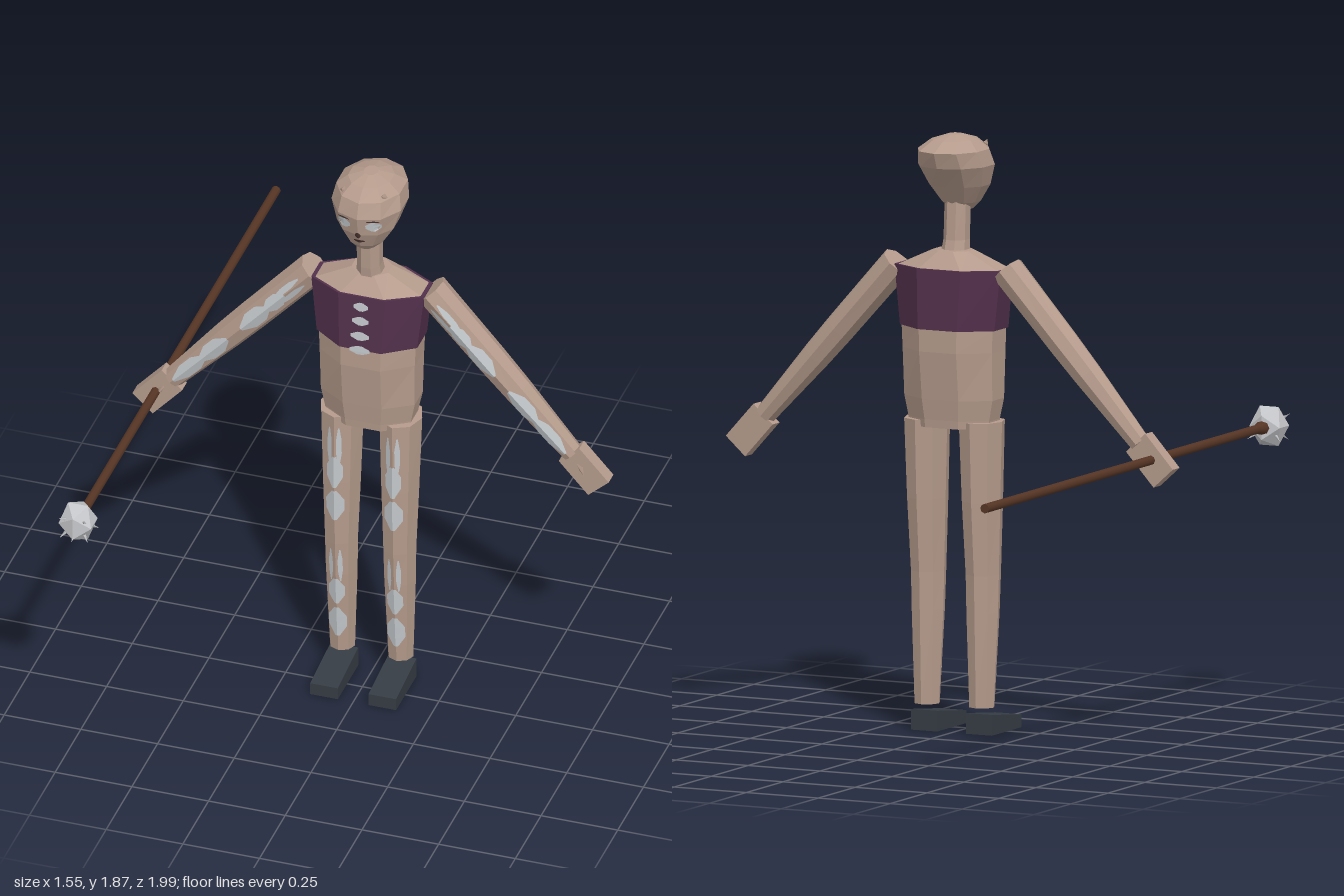
import * as THREE from 'three';

const mat = (name, color) => {
  const m = new THREE.MeshStandardMaterial({ color });
  m.name = name;
  return m;
};

// Faceted geometry: unshared corners give one normal per face
function faceted(points, index) {
  const g = new THREE.BufferGeometry();
  g.setAttribute('position', new THREE.Float32BufferAttribute(points, 3));
  g.setIndex(index);
  const flat = g.toNonIndexed();
  flat.computeVertexNormals();
  return flat;
}

// A body is { rings: [y, zCentre, halfWidth, halfDepth] rising in y, n sides, phase }
function ringPoints(ring, n, phase) {
  const angles = Array.from({ length: n }, (_, i) => ((i + phase) / n) * Math.PI * 2);
  const sx = Math.max(...angles.map(Math.sin)), sz = Math.max(...angles.map(Math.cos));
  return angles.map(a => [ring[2] * Math.sin(a) / sx, ring[0], ring[1] + ring[3] * Math.cos(a) / sz]);
}

function loft({ rings, n, phase }) {
  const pts = rings.flatMap(r => ringPoints(r, n, phase));
  const last = rings.length - 1, base = pts.length, idx = [];
  pts.push([0, rings[0][0], rings[0][1]], [0, rings[last][0], rings[last][1]]);
  for (let i = 0; i < n; i++) {
    const j = (i + 1) % n;
    for (let r = 0; r < last; r++) {
      const a = r * n + i, b = r * n + j;
      idx.push(a, b, b + n, a, b + n, a + n);
    }
    idx.push(j, i, base, last * n + i, last * n + j, base + 1);
  }
  return faceted(pts.flat(), idx);
}

// Depth of the front of a body at x, y
function frontZ({ rings, n, phase }, x, y) {
  let k = 0;
  while (k < rings.length - 2 && rings[k + 1][0] < y) k++;
  const [a, b] = [rings[k], rings[k + 1]];
  const t = THREE.MathUtils.clamp((y - a[0]) / (b[0] - a[0]), 0, 1);
  const p = ringPoints(a.map((v, i) => v + (b[i] - v) * t), n, phase);
  let z = -Infinity;
  for (let i = 0; i < n; i++) {
    const p0 = p[i], p1 = p[(i + 1) % n];
    if (p1[0] - p0[0] < 1e-6 || x < p0[0] || x > p1[0]) continue;
    z = Math.max(z, p0[2] + (p1[2] - p0[2]) * (x - p0[0]) / (p1[0] - p0[0]));
  }
  return z;
}

// Thin lozenge plate following the front of a body
function plate(body, x, y, w, h, tip = 0.25) {
  const pts = [], idx = [];
  [[-1, tip], [-0.35, 1], [0.35, 1], [1, tip]].forEach(([t, f]) => {
    for (const c of [-1, 0, 1]) {
      const px = x + c * w * f, py = y + t * h;
      pts.push(px, py, frontZ(body, px, py) + 0.005);
    }
  });
  for (let r = 0; r < 3; r++) for (let c = 0; c < 2; c++) {
    const a = r * 3 + c;
    idx.push(a, a + 1, a + 4, a, a + 4, a + 3);
  }
  return faceted(pts, idx);
}

export function createModel() {
  const model = new THREE.Group();
  const skin = mat('skin', 0xb59b8c), purple = mat('purple cloth', 0x52304b);
  const pale = mat('pale markings', 0xc3c8cc), shoe = mat('dark shoe', 0x363c44);
  const wood = mat('brown wood', 0x573625), metal = mat('light metal', 0xc6c7ca);
  const dark = mat('dark detail', 0x4a3330);
  pale.side = dark.side = THREE.DoubleSide;
  const add = (parent, name, geo, material, x = 0, y = 0, z = 0) => {
    const m = new THREE.Mesh(geo, material);
    m.name = name;
    m.position.set(x, y, z);
    parent.add(m);
    return m;
  };

  // Torso, chest band and neck
  const torso = { n: 8, phase: 0.5, rings: [
    [0.96, 0.158, 0.138, 0.086], [0.985, 0.158, 0.14, 0.088], [1.05, 0.158, 0.153, 0.096],
    [1.2, 0.157, 0.155, 0.112], [1.27, 0.156, 0.158, 0.111], [1.455, 0.155, 0.178, 0.099],
    [1.51, 0.155, 0.06, 0.055]] };
  const band = { n: 8, phase: 0.5, rings: [[1.27, 0.158, 0.164, 0.116], [1.458, 0.155, 0.184, 0.103]] };
  const neck = { n: 8, phase: 0.5, rings: [[1.49, 0.165, 0.042, 0.046], [1.54, 0.175, 0.037, 0.042], [1.67, 0.182, 0.037, 0.04]] };
  add(model, 'torso', loft(torso), skin);
  add(model, 'chestBand', loft(band), purple);
  add(model, 'neck', loft(neck), skin);
  [1.425, 1.375, 1.322, 1.272].forEach((y, i) =>
    add(model, 'chestMarking', plate(band, 0, y, 0.024 + i * 0.003, 0.015), pale));

  // Head, swept back at the crown: [y, front z, back z, half width]
  const head = { n: 10, phase: 0, rings: [
    [1.63, 0.245, 0.19, 0.03], [1.655, 0.268, 0.14, 0.058], [1.71, 0.293, 0.095, 0.092],
    [1.775, 0.305, 0.04, 0.113], [1.825, 0.288, 0.02, 0.103], [1.855, 0.245, 0.08, 0.068],
    [1.87, 0.19, 0.135, 0.022]].map(([y, f, b, w]) => [y, (f + b) / 2, w, (f - b) / 2]) };
  add(model, 'head', loft(head), skin);
  add(model, 'nose', plate(head, 0, 1.712, 0.009, 0.012), dark);
  add(model, 'mouth', plate(head, 0, 1.684, 0.018, 0.006), dark);
  for (const s of [-1, 1]) {
    add(model, 'eye', plate(head, s * 0.048, 1.748, 0.023, 0.017, 0.3), pale);
    add(model, 'eyeSlit', plate(head, s * 0.048, 1.768, 0.02, 0.003), dark);
    add(model, 'browNub', new THREE.ConeGeometry(0.012, 0.025, 4), skin, s * 0.066, 1.838, 0.245)
      .rotation.x = 0.9;
  }

  // Limbs, mirrored; each hangs down from its own joint
  const leg = { n: 8, phase: 0, rings: [
    [-0.895, 0, 0.041, 0.041], [-0.6, 0.008, 0.052, 0.058], [-0.48, 0.01, 0.054, 0.064],
    [-0.25, 0.004, 0.062, 0.077], [0, 0, 0.07, 0.084]] };
  const arm = { n: 8, phase: 0, rings: [
    [-0.69, 0, 0.034, 0.032], [-0.42, 0, 0.047, 0.046], [-0.3, 0, 0.05, 0.05], [0, 0, 0.052, 0.056]] };
  const legMarks = [[0, -0.78, 0.029, 0.055], [0, -0.66, 0.026, 0.048], [0, -0.33, 0.03, 0.055], [0, -0.205, 0.026, 0.058]];
  for (const x of [-0.015, 0.015])
    legMarks.push([x, -0.56, 0.007, 0.06], [x, -0.11, 0.008, 0.07]);
  const armMarks = [[0, -0.59, 0.024, 0.08], [0, -0.47, 0.027, 0.07], [0, -0.265, 0.028, 0.068], [0, -0.17, 0.024, 0.05]];
  for (const x of [-0.014, 0.014]) armMarks.push([x, -0.1, 0.009, 0.06]);

  const footGeo = new THREE.BoxGeometry(0.09, 0.065, 0.2);
  const fp = footGeo.attributes.position;
  for (let i = 0; i < fp.count; i++) // toe lower than heel
    if (fp.getY(i) > 0 && fp.getZ(i) > 0) fp.setY(i, 0.008);
  footGeo.computeVertexNormals();

  for (const s of [-1, 1]) {
    const side = s > 0 ? 'left' : 'right';
    const legGroup = new THREE.Group();
    legGroup.name = side + 'Leg';
    legGroup.position.set(s * 0.095, 0.98, 0.16);
    add(legGroup, 'leg', loft(leg), skin);
    legMarks.forEach(m => add(legGroup, 'legMarking', plate(leg, ...m), pale));
    add(model, side + 'Foot', footGeo, shoe, s * 0.095, 0.0325, 0.24);

    const armGroup = new THREE.Group();
    armGroup.name = side + 'Arm';
    armGroup.position.set(s * 0.19, 1.46, 0.148);
    armGroup.rotation.z = s * 0.734;
    add(armGroup, 'arm', loft(arm), skin);
    armMarks.forEach(m => add(armGroup, 'armMarking', plate(arm, ...m), pale));
    add(armGroup, 'hand', new THREE.BoxGeometry(0.09, 0.143, 0.047), skin, 0, -0.754, 0);
    add(armGroup, 'thumb', new THREE.ConeGeometry(0.014, 0.04, 4), skin, 0, -0.745, 0.026)
      .rotation.x = 2.5;
    model.add(legGroup, armGroup);
  }

  // Mace: long staff through the right hand with a faceted, spiked head
  const mace = new THREE.Group();
  mace.name = 'mace';
  mace.position.set(-0.7, 0.902, 0);
  add(mace, 'staff', new THREE.CylinderGeometry(0.015, 0.015, 1.87, 8), wood, 0, 0, -0.065).rotation.x = Math.PI / 2;
  add(mace, 'collar', new THREE.CylinderGeometry(0.024, 0.015, 0.04, 8), wood, 0, 0, 0.865).rotation.x = Math.PI / 2;
  add(mace, 'maceHead', new THREE.IcosahedronGeometry(0.064, 0), metal, 0, 0, 0.926).scale.set(0.97, 1.12, 0.97);
  for (const [x, y, z] of [[0.6, 0.45, 0.75], [-0.6, 0.45, 0.75], [0.6, -0.6, 0.6], [-0.6, -0.6, 0.6], [0, -0.5, 0.85], [0.7, -0.5, -0.5], [-0.7, -0.5, -0.5]]) {
    const d = new THREE.Vector3(x, y, z).normalize();
    const spike = add(mace, 'spike', new THREE.ConeGeometry(0.007, 0.034, 4), metal,
      d.x * 0.063, d.y * 0.063, 0.926 + d.z * 0.06);
    spike.quaternion.setFromUnitVectors(new THREE.Vector3(0, 1, 0), d);
  }
  model.add(mace);
  return model;
}
